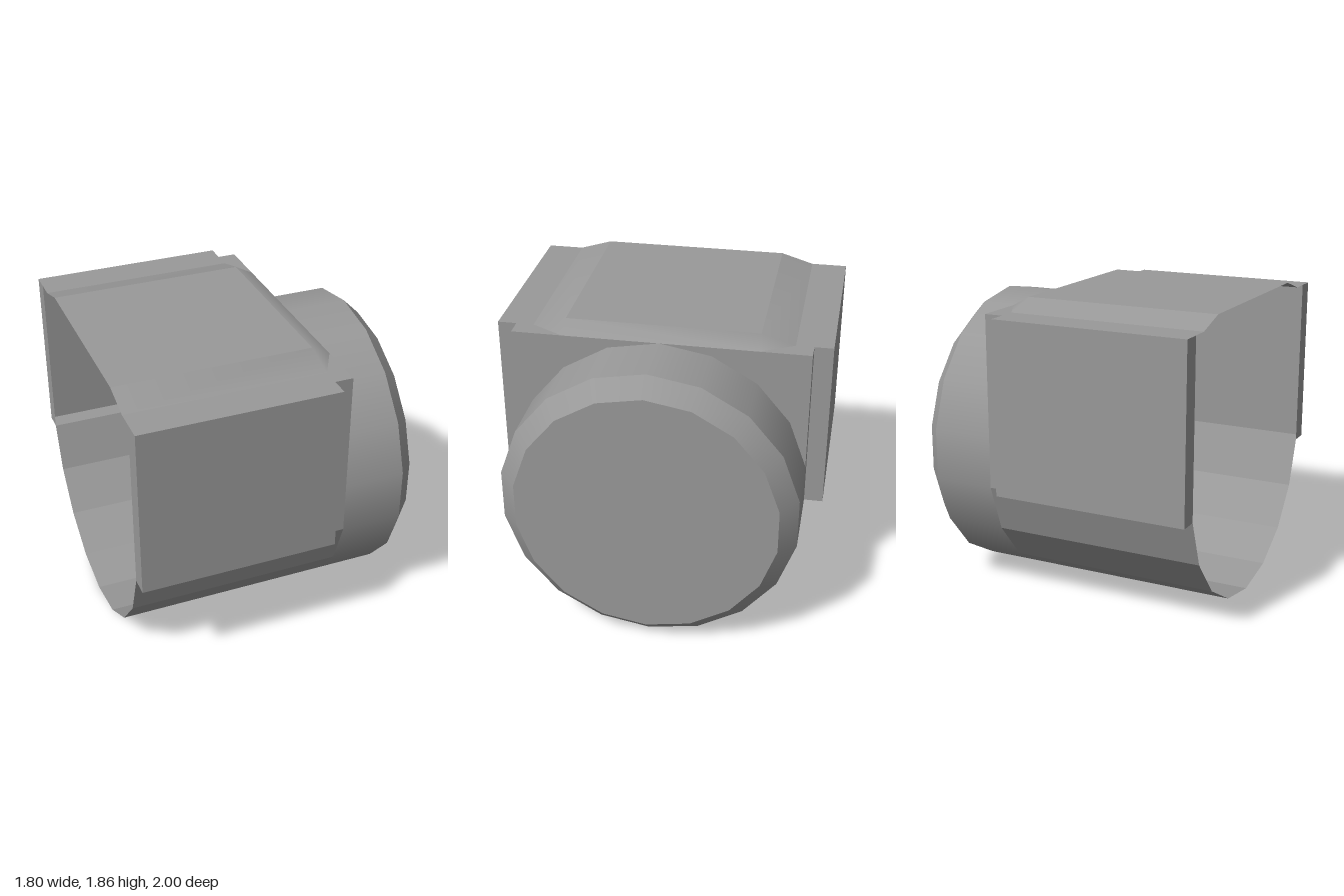
import * as THREE from 'three';
import { mergeGeometries, mergeVertices } from 'three/addons/utils/BufferGeometryUtils.js';

const R = 0.9, CY = 0.9, SIDES = 18, STEP = (Math.PI * 2) / SIDES;
const BACK = -0.9, STOP = 0.304, NECK = 0.416, RIM = 0.796, FRONT = 0.9, CAP = 0.795;
const TOP = 1.8, ROOF = 1.86, OUT = 1;
const INNER = R * Math.sin(5 * STEP);          // half width of the tube at the ledge
const LEDGE = CY + R * Math.cos(5 * STEP);

const material = new THREE.MeshStandardMaterial({ color: 0x999999, side: THREE.DoubleSide });
const flatMaterial = new THREE.MeshStandardMaterial({ color: 0x999999, side: THREE.DoubleSide, flatShading: true });

function add(group, name, geometry, mat = flatMaterial) {
  const mesh = new THREE.Mesh(geometry, mat);
  mesh.name = name;
  group.add(mesh);
}

// Flat convex polygons as fans; side -1 mirrors them across z = 0
function panels(polygons, side = 1) {
  const pos = [];
  const put = ([x, y, z]) => pos.push(x, y, z * side);
  for (const p of polygons) {
    for (let i = 1; i < p.length - 1; i++) {
      const tri = [p[0], p[i], p[i + 1]];
      (side > 0 ? tri : tri.reverse()).forEach(put);
    }
  }
  const g = new THREE.BufferGeometry();
  g.setAttribute('position', new THREE.Float32BufferAttribute(pos, 3));
  return g;
}

// Joins panels into one surface with blended normals
function smooth(parts) {
  const g = mergeVertices(mergeGeometries(parts));
  g.computeVertexNormals();
  return g;
}

// Open round section lying along x
function ring(r0, r1, x0, x1, segments = SIDES, start = Math.PI / 2) {
  return new THREE.CylinderGeometry(r1, r0, x1 - x0, segments, 1, true, start, segments * STEP)
    .rotateZ(-Math.PI / 2)
    .translate((x0 + x1) / 2, CY, 0);
}

export function createModel() {
  const model = new THREE.Group();
  model.name = 'roundedHousing';

  // Round head with bevelled rim and flat end
  add(model, 'headBand', ring(R, R, NECK, RIM), material);
  add(model, 'headBevel', ring(R, CAP, RIM, FRONT), material);
  add(model, 'headEnd', new THREE.CircleGeometry(CAP, SIDES, Math.PI / 2)
    .rotateY(Math.PI / 2).translate(FRONT, CY, 0));

  // Open faceted trough under the housing
  add(model, 'trough', ring(R, R, BACK, NECK, 8, Math.PI / 2 - 4 * STEP));

  // Raised flat roof
  const z0 = 0.58, z1 = 0.78;
  add(model, 'roof', panels([
    [[BACK, ROOF, z0], [STOP, ROOF, z0], [STOP, ROOF, -z0], [BACK, ROOF, -z0]],
  ]), flatMaterial);

  // Bevel running round the roof, blended at its corners
  const endSlope = [[STOP, ROOF, z0], [NECK, TOP, z0], [NECK, TOP, -z0], [STOP, ROOF, -z0]];
  const sideSlope = [[BACK, TOP, z1], [STOP, TOP, z1], [STOP, ROOF, z0], [BACK, ROOF, z0]];
  const cornerSlope = [[STOP, TOP, z1], [NECK, TOP, z0], [STOP, ROOF, z0]];
  add(model, 'roofBevel', smooth([
    panels([endSlope]),
    panels([sideSlope, cornerSlope]),
    panels([sideSlope, cornerSlope], -1),
  ]), material);

  for (const side of [1, -1]) {
    const word = side > 0 ? 'front' : 'rear';

    // Flat shoulder beside the roof bevel
    add(model, word + 'Shoulder', panels([
      [[BACK, TOP, z1], [BACK, TOP, INNER], [STOP, TOP, INNER], [STOP, TOP, z1]],
      [[STOP, TOP, z1], [STOP, TOP, INNER], [NECK, TOP, INNER], [NECK, TOP, z0]],
    ], side));

    // Hollow side box, open towards the inside
    add(model, word + 'SideBox', panels([
      [[BACK, LEDGE, OUT], [STOP, LEDGE, OUT], [STOP, TOP, OUT], [BACK, TOP, OUT]],
      [[BACK, TOP, OUT], [STOP, TOP, OUT], [STOP, TOP, INNER], [BACK, TOP, INNER]],
      [[BACK, LEDGE, INNER], [STOP, LEDGE, INNER], [STOP, LEDGE, OUT], [BACK, LEDGE, OUT]],
      [[STOP, LEDGE, OUT], [STOP, LEDGE, INNER], [STOP, TOP, INNER], [STOP, TOP, OUT]],
      [[BACK, LEDGE, INNER], [BACK, LEDGE, OUT], [BACK, TOP, OUT], [BACK, TOP, INNER]],
    ], side));

    // Narrow neck wall between the side box and the head
    add(model, word + 'Neck', panels([
      [[STOP, LEDGE, INNER], [NECK, LEDGE, INNER], [NECK, TOP, INNER], [STOP, TOP, INNER]],
    ], side));

    // Corner wall filling the gap between round head and square housing
    const corner = [];
    for (let i = 0; i <= 4; i++) {
      corner.push([NECK, CY + R * Math.cos(i * STEP), R * Math.sin(i * STEP)]);
    }
    add(model, word + 'CornerWall', panels([[[NECK, TOP, INNER], ...corner]], side));
  }

  return model;
}
